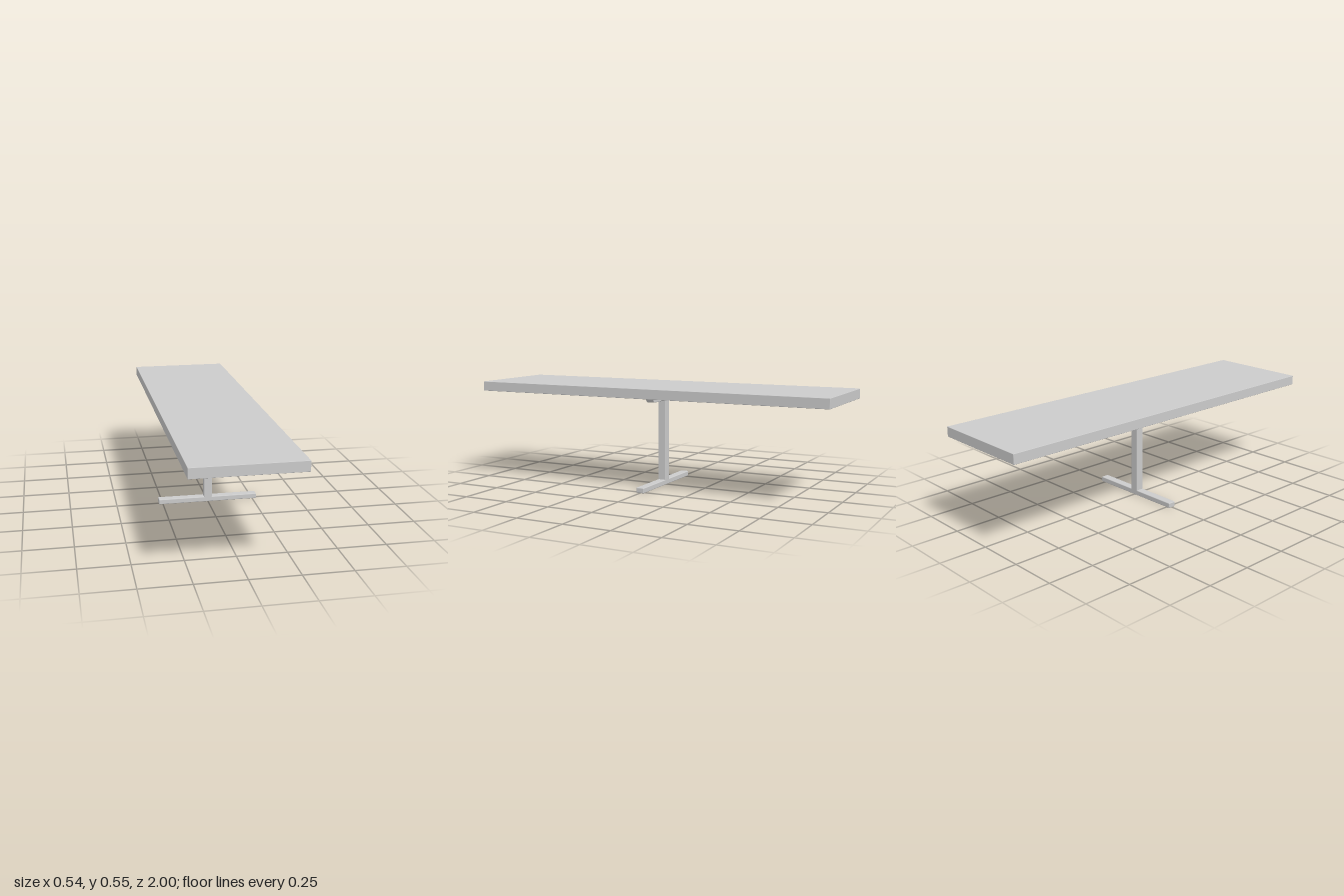
import * as THREE from 'three';
import { RoundedBoxGeometry } from 'three/addons/geometries/RoundedBoxGeometry.js';

const material = new THREE.MeshStandardMaterial({ color: 0xcccccc });
const LEG_DEPTH = 0.044;

// Softly rounded beam spanning y0 to y1
function beam(name, width, y0, y1, depth, radius) {
  const mesh = new THREE.Mesh(new RoundedBoxGeometry(width, y1 - y0, depth, 3, radius), material);
  mesh.name = name;
  mesh.position.y = (y0 + y1) / 2;
  return mesh;
}

// Tapered support with rounded lower corners, its top sunk slightly into the tabletop
function support() {
  const shape = new THREE.Shape();
  shape.moveTo(-0.178, 0.498);
  shape.lineTo(-0.155, 0.468);
  shape.quadraticCurveTo(-0.151, 0.463, -0.145, 0.463);
  shape.lineTo(0.145, 0.463);
  shape.quadraticCurveTo(0.151, 0.463, 0.155, 0.468);
  shape.lineTo(0.178, 0.498);
  shape.closePath();
  const bevel = 0.003;
  const geometry = new THREE.ExtrudeGeometry(shape, {
    depth: LEG_DEPTH - 2 * bevel, bevelThickness: bevel, bevelSize: bevel,
    bevelOffset: -bevel, bevelSegments: 3, curveSegments: 4,
  });
  geometry.translate(0, 0, bevel - LEG_DEPTH / 2);
  const mesh = new THREE.Mesh(geometry, material);
  mesh.name = 'topSupport';
  return mesh;
}

export function createModel() {
  const table = new THREE.Group();
  table.name = 'pedestalTable';

  table.add(beam('tabletop', 0.544, 0.493, 0.545, 2, 0.002));

  // Pedestal: post between the foot bar and the tapered support
  const pedestal = new THREE.Group();
  pedestal.name = 'pedestal';
  pedestal.add(
    beam('post', 0.044, 0.01, 0.485, LEG_DEPTH, 0.003),
    beam('footBar', 0.544, 0, 0.028, LEG_DEPTH, 0.004),
    support(),
  );
  table.add(pedestal);
  return table;
}
